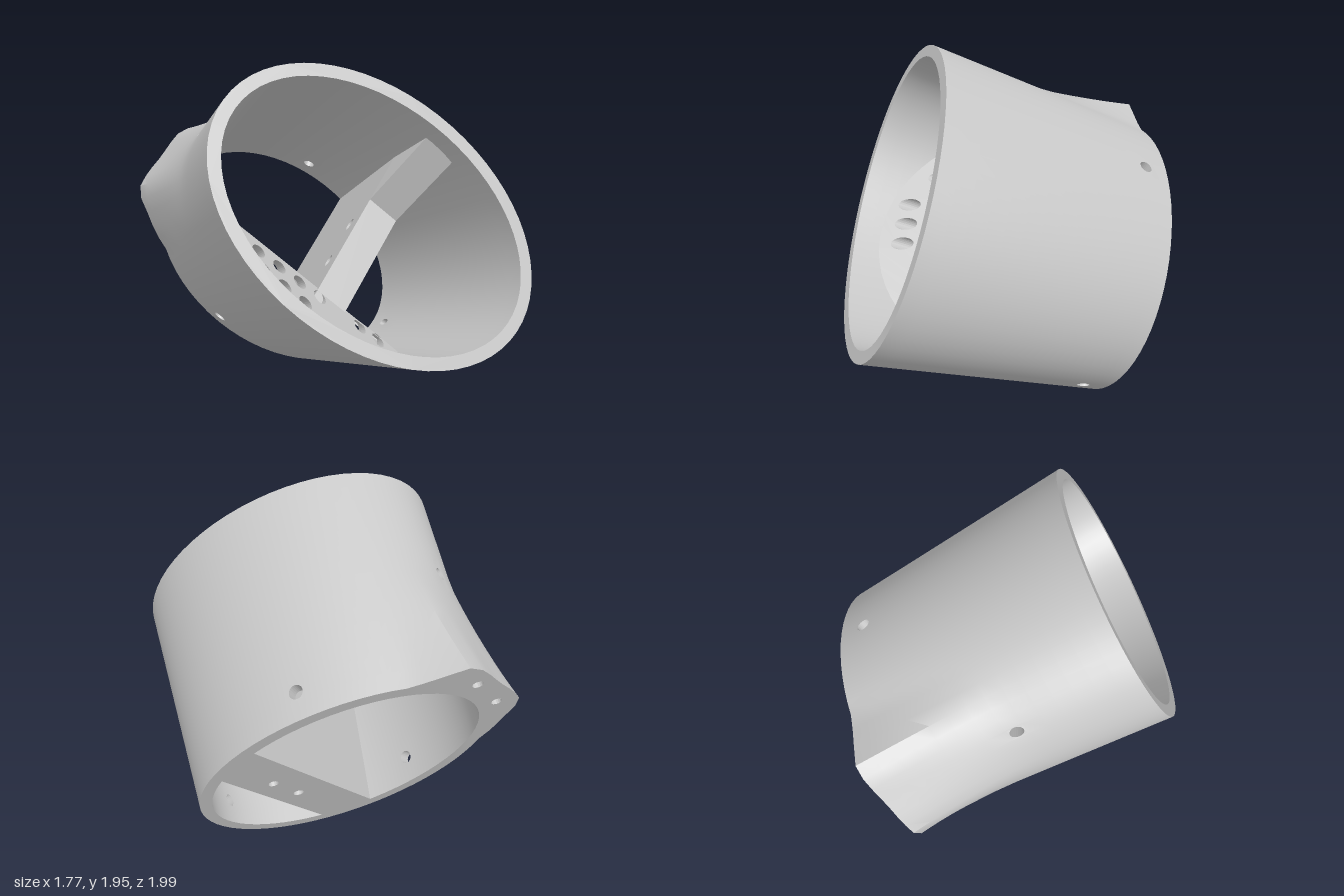
import * as THREE from 'three';
import { mergeGeometries, toCreasedNormals } from 'three/addons/utils/BufferGeometryUtils.js';

// Local frame: x across, y up the section, z along the tube axis (tilted at the end).
const BACK = -0.315, FRONT = 1.095, WALL = 0.07, SEGS = 64, ROWS = 14;
const STEP = (Math.PI * 2) / SEGS, ROW = (FRONT - BACK) / ROWS;
const lerp = THREE.MathUtils.lerp, clamp = THREE.MathUtils.clamp;

// Outline of the corner lug on the back end, as angle and radius about the section centre
const LUG = [[-0.2, 1.64], [-0.38, 1.7], [-0.48, 1.77], [-0.56, 1.76], [-0.715, 1.59], [-0.87, 1.42],
  [-0.89, 1.37], [-0.85, 1.22], [-0.79, 1.03]].map(([x, y]) => {
  const a = Math.atan2(y - 0.9, x + 0.01);
  return [a < 0 ? a + Math.PI * 2 : a, Math.hypot(x + 0.01, y - 0.9)];
});

function lugRadius(angle) {
  for (let i = 0; i < LUG.length - 1; i++) {
    const [a0, r0] = LUG[i], [a1, r1] = LUG[i + 1];
    if (angle >= a0 && angle <= a1) return lerp(r0, r1, (angle - a0) / (a1 - a0));
  }
  return 0;
}

// The slanted elliptical section at depth z
function section(z, inset) {
  const k = (z - BACK) / (FRONT - BACK);
  return {
    cx: lerp(-0.01, 0.03, k), cy: lerp(0.9, 0.838, k), turn: lerp(-0.747, -0.723, k),
    a: lerp(0.875, 0.972, k) - inset, b: lerp(0.637, 0.683, k) - inset,
  };
}

// Point on the tube wall; inset 0 is the outside, WALL the inside
function wallPoint(angle, z, inset) {
  const e = section(z, inset), c = Math.cos(e.turn), s = Math.sin(e.turn);
  const p = e.a * Math.cos(angle), q = e.b * Math.sin(angle);
  let dx = p * c - q * s, dy = p * s + q * c;
  const fade = clamp(1 - (z - BACK) / 0.75, 0, 1) * (1 - inset / WALL);
  const polar = (Math.atan2(dy, dx) + Math.PI * 2) % (Math.PI * 2);
  const grow = 1 + Math.max(0, lugRadius(polar) / Math.hypot(dx, dy) - 1) * fade;
  return new THREE.Vector3(e.cx + dx * grow, e.cy + dy * grow, z);
}

function warp(geometry, rule) {
  const g = geometry.index ? geometry.toNonIndexed() : geometry;
  const pos = g.attributes.position;
  for (let i = 0; i < pos.count; i++) {
    const p = rule(pos.getX(i), pos.getY(i), pos.getZ(i));
    pos.setXYZ(i, p.x, p.y, p.z);
  }
  g.deleteAttribute('uv');
  g.computeVertexNormals();
  return g;
}

function polygon(points) {
  return new THREE.Shape(points.map(([x, y]) => new THREE.Vector2(x, y)));
}

function punch(shape, x, y, rx, ry = rx) {
  shape.holes.push(new THREE.Path().absellipse(x, y, rx, ry, 0, Math.PI * 2, true));
}

// Wall parameter whose outside point lies nearest to x, y
function angleNear(x, y, z) {
  let best = 0, bestD = Infinity;
  for (let i = 0; i < SEGS; i++) {
    const p = wallPoint((i + 0.5) * STEP, z, 0), d = Math.hypot(p.x - x, p.y - y);
    if (d < bestD) { bestD = d; best = i; }
  }
  return best;
}

// Chord wall: q runs along the chord, w across its thickness, z along the axis
const DIR = [0.656, 0.755], NORM = [-0.755, 0.656];
function chordPoint(q, w, z) {
  const k = clamp((z - BACK) / 0.895, 0, 1);
  const off = lerp(lerp(0.13, 0.28, k), lerp(0.43, 0.48, k), w);
  const e = section(z, 0.035), c = Math.cos(e.turn), s = Math.sin(e.turn);
  const ox = NORM[0] * off - e.cx, oy = NORM[1] * off - e.cy;
  const p0 = (ox * c + oy * s) / e.a, q0 = (-ox * s + oy * c) / e.b;
  const p1 = (DIR[0] * c + DIR[1] * s) / e.a, q1 = (-DIR[0] * s + DIR[1] * c) / e.b;
  const A = p1 * p1 + q1 * q1, B = p0 * p1 + q0 * q1, C = p0 * p0 + q0 * q0 - 1;
  const root = Math.sqrt(Math.max(0, B * B - A * C));
  const along = (-B + root * (2 * q - 1)) / A;
  return new THREE.Vector3(NORM[0] * off + DIR[0] * along, NORM[1] * off + DIR[1] * along, z);
}

export function createModel() {
  const model = new THREE.Group();
  model.name = 'tiltedHousing';
  const body = new THREE.Group();
  body.name = 'housingBody';
  body.rotation.x = -Math.atan2(0.4, 0.916);
  model.add(body);

  const grey = new THREE.MeshStandardMaterial({ color: 0xc8c8c8, side: THREE.DoubleSide });
  grey.name = 'lightGrey';
  const add = (name, geometry) => {
    const mesh = new THREE.Mesh(geometry, grey);
    mesh.name = name;
    body.add(mesh);
  };

  // Screw holes through the tube wall: x, y, z
  const screwHoles = [[-0.7, 1.51, 0.485], [0.26, 1.46, -0.174], [0.63, 0.29, -0.17], [-0.53, 0.51, -0.14]]
    .map(([x, y, z]) => ({ seg: angleNear(x, y, z), row: Math.floor((z - BACK) / ROW) }));

  // Tube wall, outside and inside, cell by cell
  for (const [name, inset] of [['outerShell', 0], ['innerShell', WALL]]) {
    const cells = [];
    for (let i = 0; i < SEGS; i++) {
      for (let j = 0; j < ROWS; j++) {
        const shape = polygon([[0, 0], [1, 0], [1, 1], [0, 1]]);
        if (screwHoles.some(h => h.seg === i && h.row === j)) punch(shape, 0.5, 0.5, 0.44, 0.38);
        const sign = inset ? -1 : 1;
        cells.push(warp(new THREE.ShapeGeometry(shape),
          (u, v) => wallPoint(sign * (i + u) * STEP + (inset ? (2 * i + 1) * STEP : 0), BACK + (j + v) * ROW, inset)));
      }
    }
    add(name, toCreasedNormals(mergeGeometries(cells), 0.5));
  }
  for (const { seg, row } of screwHoles) {
    add('screwHole', warp(new THREE.CylinderGeometry(1, 1, 1, 24, 1, true), (x, y, z) =>
      wallPoint((seg + 0.5 + 0.44 * x) * STEP, BACK + (row + 0.5 + 0.38 * z) * ROW, (0.5 - y) * WALL)));
  }

  // End rims; the back one has two blind holes in the lug
  const outline = (z, inset) => Array.from({ length: SEGS }, (_, i) => {
    const p = wallPoint(i * STEP, z, inset);
    return new THREE.Vector2(p.x, p.y);
  });
  for (const [name, z] of [['frontRim', FRONT], ['backRim', BACK]]) {
    const shape = new THREE.Shape(outline(z, 0));
    shape.holes.push(new THREE.Path(outline(z, WALL)));
    if (z === BACK) {
      for (const [x, y] of [[-0.6, 1.6], [-0.755, 1.4]]) {
        punch(shape, x, y, 0.028);
        add('lugHole', warp(new THREE.CylinderGeometry(0.028, 0.028, 0.16, 16, 1, true),
          (a, b, c) => new THREE.Vector3(x + a, y + c, BACK + 0.08 + b)));
      }
    }
    add(name, warp(new THREE.ShapeGeometry(shape), (x, y) => new THREE.Vector3(x, y, z)));
  }

  // Chord wall: drilled back block, then the front block with its ramp
  const backBlock = polygon([[0, 0], [1, 0], [1, 1], [0, 1]]);
  for (const q of [0.45, 0.66]) punch(backBlock, q, 0.42, 0.026, 0.1);
  add('chordWallBack', warp(new THREE.ExtrudeGeometry(backBlock, { depth: 1, bevelEnabled: false }),
    (q, w, d) => chordPoint(q, w, lerp(BACK, -0.1, d))));
  const frontBlock = polygon([[0, -0.1], [1, -0.1], [1, 0.3], [1, 0.58], [1, 1], [0.72, 0.58], [0, 0.58], [0, 0.25]]);
  for (const q of [0.4, 0.61]) punch(frontBlock, q, 0.43, 0.03, 0.035);
  add('chordWallFront', warp(new THREE.ExtrudeGeometry(frontBlock, { depth: 1, bevelEnabled: false }),
    (q, z, w) => chordPoint(q, w, z)));

  // Perforated wedge in the lower corner, its front sloping down to the wall
  const height = (x, y) => (x + y) * Math.SQRT1_2;
  const arc = [];
  for (let i = 0; i <= 160; i++) {
    const p = wallPoint(-Math.PI + (i / 160) * Math.PI, 0.6, 0.035);
    if (height(p.x, p.y) < 0.29) arc.push([p.x, p.y]);
  }
  const wedge = polygon(arc);
  for (let i = 0; i < 5; i++) punch(wedge, -0.6 + 0.105 * i, 0.88 - 0.095 * i, 0.042);
  for (let i = 0; i < 3; i++) punch(wedge, -0.53 + 0.095 * i, 0.67 - 0.1 * i, 0.042);
  for (let i = 0; i < 2; i++) punch(wedge, 0.04 + 0.1 * i, 0.31 - 0.09 * i, 0.042);
  add('perforatedWedge', warp(new THREE.ExtrudeGeometry(wedge, { depth: 1, bevelEnabled: false }),
    (x, y, d) => new THREE.Vector3(x, y, d < 0.5 ? 0.5 : Math.min(1.05, 0.55 + (0.29 - height(x, y)) / 0.72))));

  return model;
}
